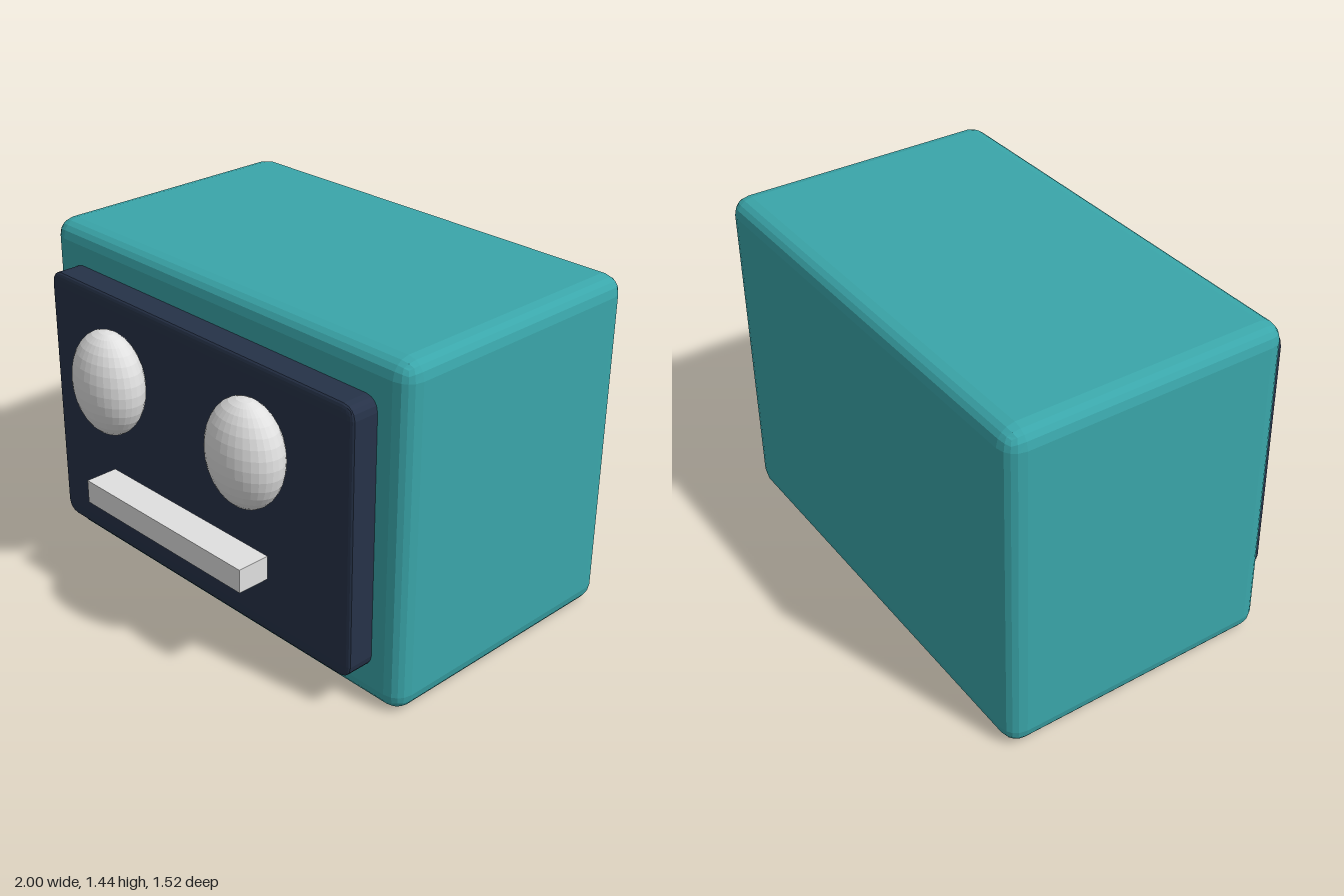
import * as THREE from 'three';
import { RoundedBoxGeometry } from 'three/addons/geometries/RoundedBoxGeometry.js';

function material(name, color) {
  const m = new THREE.MeshStandardMaterial({ color, flatShading: true });
  m.name = name;
  return m;
}

export function createModel() {
  const model = new THREE.Group();
  const teal = material('teal', 0x3aa6aa);
  const navy = material('navy', 0x263248);
  const lightGrey = material('lightGrey', 0xe0e0e0);

  const add = (name, geometry, mat, x, y, z) => {
    const mesh = new THREE.Mesh(geometry, mat);
    mesh.name = name;
    mesh.position.set(x, y, z);
    model.add(mesh);
    return mesh;
  };

  // Box-shaped head with bevelled edges
  add('head', new RoundedBoxGeometry(2, 1.44, 1.2, 2, 0.075), teal, 0, 0.72, -0.16);

  // Face panel: rounded outline, flattened so its front edge is only slightly eased
  const panel = new RoundedBoxGeometry(1.72, 1.12, 1, 2, 0.055).scale(1, 1, 0.2);
  add('facePanel', panel, navy, 0, 0.72, 0.46);

  // Oval eyes, mirrored
  const eye = new THREE.SphereGeometry(1, 32, 16).scale(0.18, 0.22, 0.12);
  for (const side of [-1, 1]) {
    add(side > 0 ? 'leftEye' : 'rightEye', eye, lightGrey, side * 0.4, 0.962, 0.64);
  }

  // Mouth bar floating just ahead of the panel
  add('mouth', new THREE.BoxGeometry(0.92, 0.1, 0.14), lightGrey, 0, 0.482, 0.66);

  return model;
}
